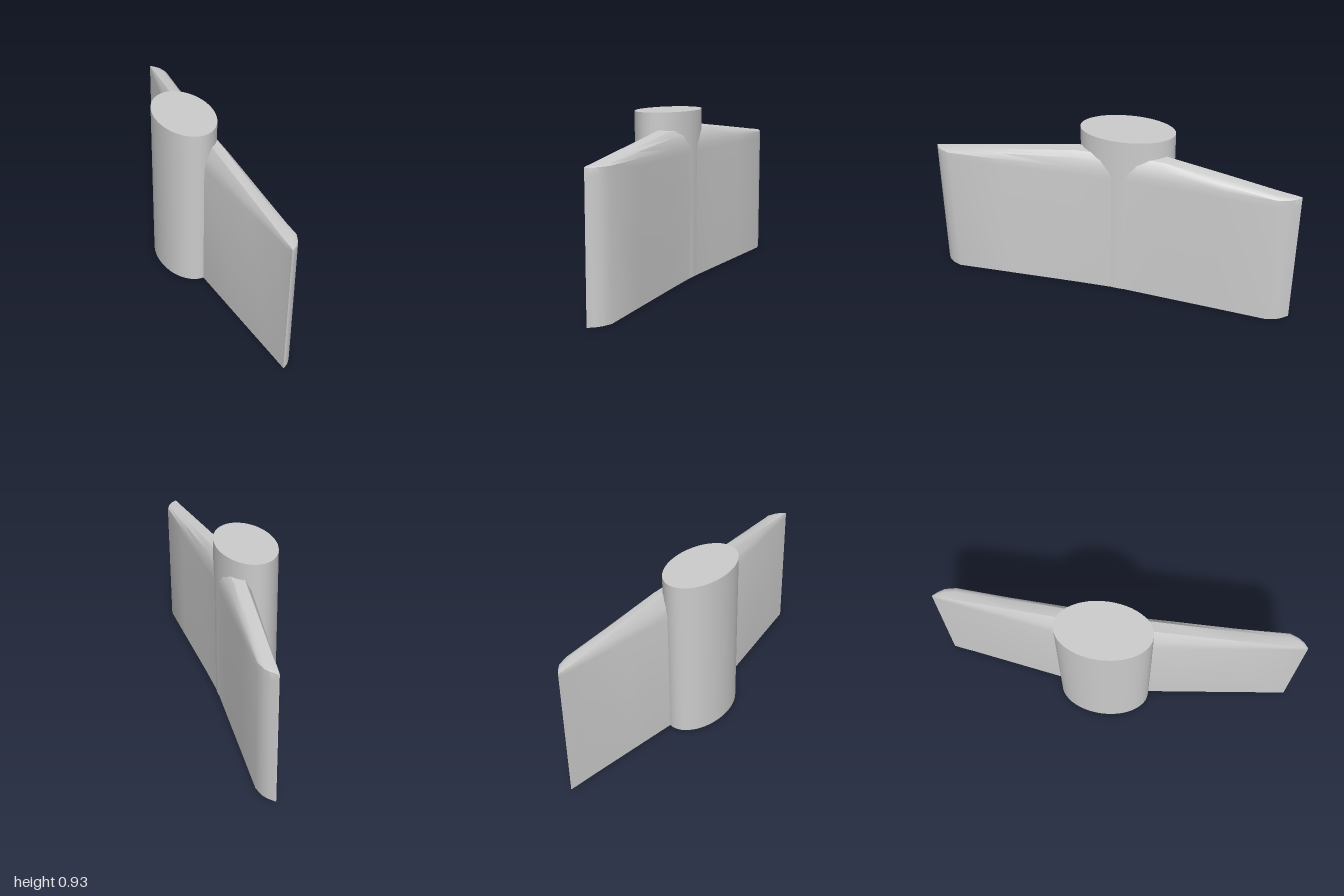
import * as THREE from 'three';
import { toCreasedNormals } from 'three/addons/utils/BufferGeometryUtils.js';

// Skin a row of equal-length closed loops (counter-clockwise seen from +z), capped at both ends.
function loft(loops) {
  const n = loops[0].length;
  const pos = loops.flat(2);
  const index = [];
  for (let i = 0; i < loops.length - 1; i++) {
    for (let j = 0; j < n; j++) {
      const a = i * n + j, b = i * n + (j + 1) % n;
      index.push(a, b, b + n, a, b + n, a + n);
    }
  }
  const last = (loops.length - 1) * n;
  for (let j = 1; j < n - 1; j++) {
    index.push(0, j + 1, j);
    index.push(last, last + j, last + j + 1);
  }
  const geo = new THREE.BufferGeometry();
  geo.setAttribute('position', new THREE.Float32BufferAttribute(pos, 3));
  geo.setIndex(index);
  return toCreasedNormals(geo, 0.7);
}

export function createModel() {
  const group = new THREE.Group();
  const material = new THREE.MeshStandardMaterial({ color: 0xcccccc });

  // Upright oval hub
  const hubGeo = new THREE.CylinderGeometry(1, 1, 0.925, 48);
  hubGeo.scale(0.16, 1, 0.257);
  const hub = new THREE.Mesh(hubGeo, material);
  hub.name = 'hub';
  hub.position.set(-0.025, 0.4625, -0.057);
  group.add(hub);

  // Swept panel stations: z, inner x, outer x, top y, inset of the top edge on the inner side
  const stations = [
    [-1.0, 0.118, 0.122, 0.742, 0],
    [-0.97, 0.113, 0.15, 0.746, 0.002],
    [-0.94, 0.108, 0.17, 0.749, 0.004],
    [-0.88, 0.1, 0.184, 0.756, 0.008],
    [-0.6, 0.055, 0.166, 0.793, 0.025],
    [-0.29, 0.005, 0.147, 0.832, 0.045],
    [-0.04, -0.01, 0.131, 0.832, 0.05],
    [0.2, -0.01, 0.137, 0.832, 0.05],
    [0.6, 0.04, 0.153, 0.787, 0.025],
    [0.9, 0.078, 0.165, 0.753, 0.006],
    [0.95, 0.084, 0.145, 0.748, 0.003],
    [0.98, 0.088, 0.122, 0.745, 0.001],
    [1.0, 0.09, 0.094, 0.742, 0],
  ];
  const loops = stations.map(([z, xi, xo, top, inset]) => {
    const rise = top - 0.74;
    const ridge = xi + inset;
    const w = xo - ridge;
    return [
      [xi, 0, z],
      [xo, 0, z],
      [xo, 0.7, z],
      [xo - w * 0.02, 0.74, z],
      [xo - w * 0.14, 0.74 + rise * 0.6, z],
      [xo - w * 0.4, 0.74 + rise * 0.92, z],
      [ridge, top, z],
      [xi + inset * 0.3, 0.74 + rise * 0.4, z],
      [xi, 0.72, z],
    ];
  });
  const panel = new THREE.Mesh(loft(loops), material);
  panel.name = 'sweptPanel';
  group.add(panel);

  return group;
}
